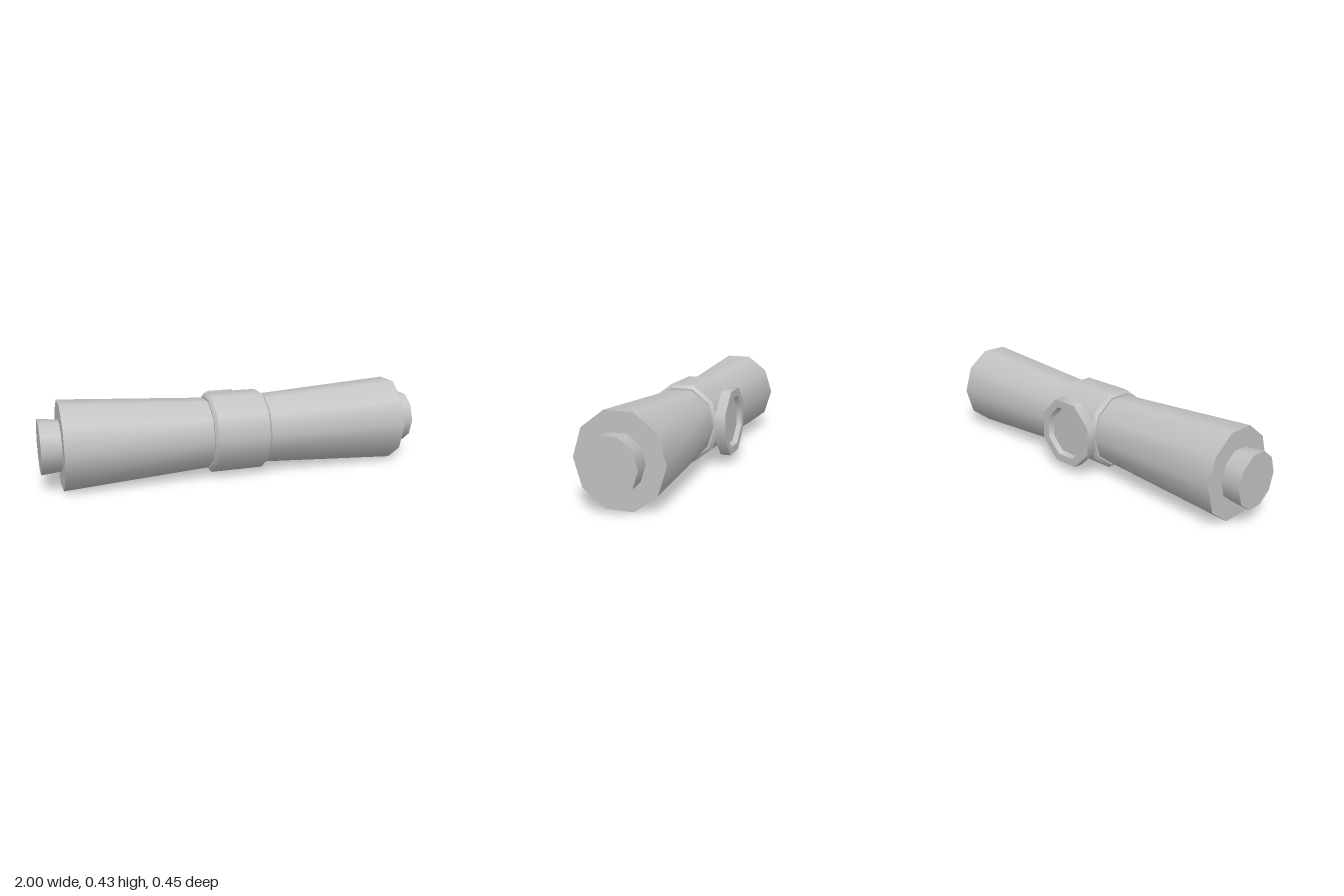
import * as THREE from 'three';
import { mergeGeometries } from 'three/addons/utils/BufferGeometryUtils.js';

const CENTRE_Y = 0.217, CENTRE_Z = 0.012;
const STRETCH = 1.0515; // makes the ten-sided section as tall as it is wide

// Turned solid: round sides stay smooth, profile corners stay sharp.
// Points are [radius, distance along the axis], listed bottom to top.
function turned(points, sides, start = 0) {
  const bands = [];
  for (let i = 0; i < points.length - 1; i++) {
    const pair = [points[i], points[i + 1]].map(([r, y]) => new THREE.Vector2(r, y));
    bands.push(new THREE.LatheGeometry(pair, sides, start));
  }
  return mergeGeometries(bands);
}

// Mirror half a profile (centre outwards) to give both ends
function symmetric(half) {
  return [...half.map(([r, x]) => [r, -x]).reverse(), ...half];
}

export function createModel() {
  const group = new THREE.Group();
  const grey = new THREE.MeshStandardMaterial({ color: 0xc2c2c2 });
  grey.name = 'grey';

  function add(name, geometry, x, y, z) {
    const mesh = new THREE.Mesh(geometry, grey);
    mesh.name = name;
    mesh.position.set(x, y, z);
    group.add(mesh);
  }

  // Ten-sided part lying along x
  function alongX(name, points, x = 0) {
    const geometry = turned(points, 10);
    geometry.scale(STRETCH, 1, 1);
    geometry.rotateZ(-Math.PI / 2);
    add(name, geometry, x, CENTRE_Y, CENTRE_Z);
  }

  // Flared grip halves and the end plugs
  for (const [side, s] of [['left', 1], ['right', -1]]) {
    const grip = [[0, 0.1], [0.171, 0.1], [0.216, 0.9], [0, 0.9]];
    const plug = [[0, 0.88], [0.121, 0.88], [0.131, 1], [0, 1]];
    const place = (p) => (s > 0 ? p : p.map(([r, x]) => [r, -x]).reverse());
    alongX(side + 'Grip', place(grip));
    alongX(side + 'EndPlug', place(plug));
  }

  // Bevelled middle collar
  alongX('collar', symmetric([[0.199, 0.138], [0.184, 0.152], [0, 0.152]]), -0.003);

  // Octagonal button ring with a recessed face, on the back of the collar
  const button = turned(
    [[0, 0.175], [0.18, 0.175], [0.18, 0.227], [0.138, 0.227], [0.125, 0.203], [0, 0.203]],
    8, Math.PI / 8
  );
  button.rotateX(-Math.PI / 2);
  add('backButton', button, -0.003, CENTRE_Y, 0);

  return group;
}
